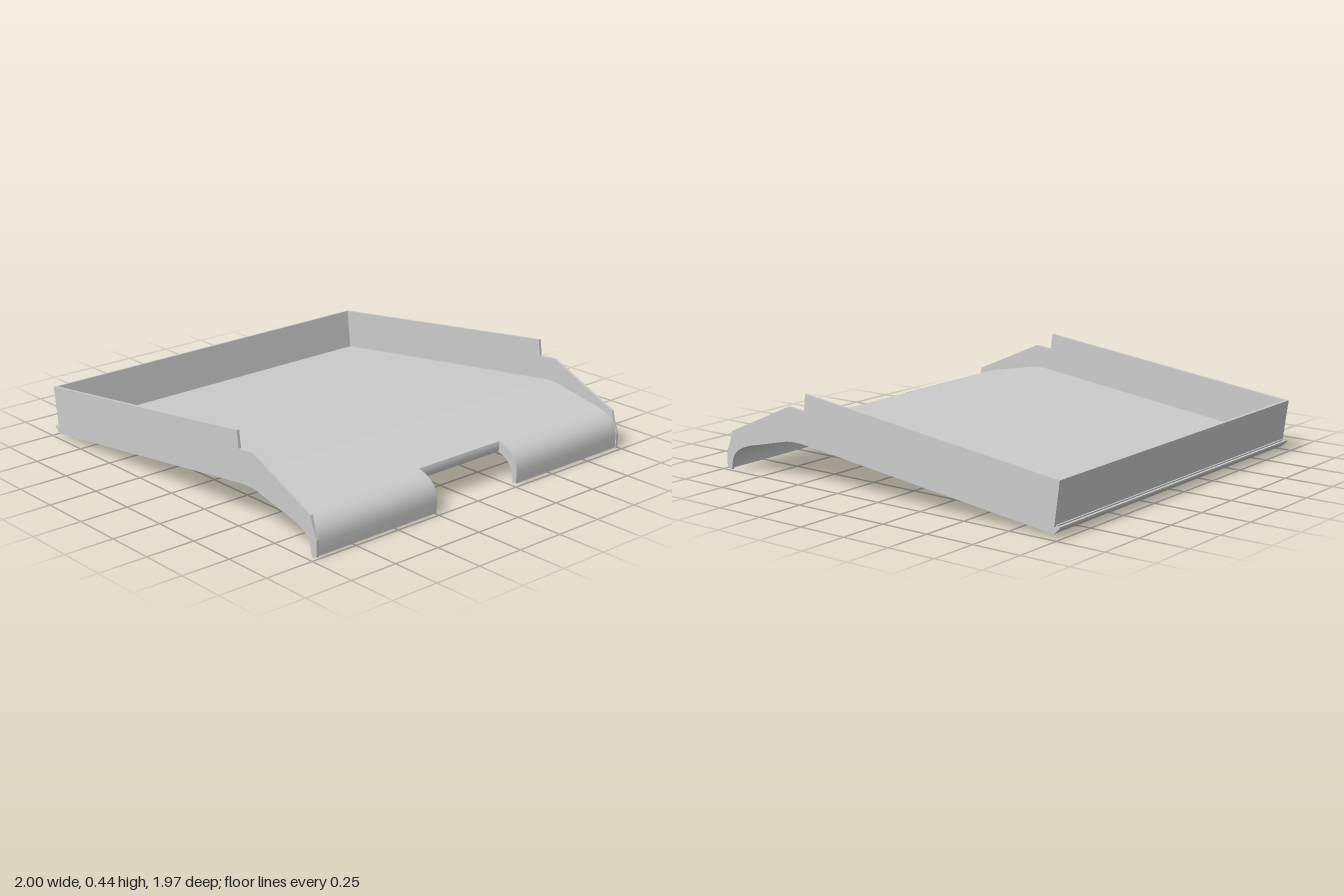
import * as THREE from 'three';
import { toCreasedNormals } from 'three/addons/utils/BufferGeometryUtils.js';

const material = new THREE.MeshStandardMaterial({ color: 0xcccccc });
const HALF = 0.98;    // half depth of the tray
const WALL = 0.014;   // side wall thickness
const NOTCH = 0.26;   // half width of the cut-out in the lip

// Extrudes an x-y outline from z0 to z1, smooth along its curves.
function slab(name, shape, z0, z1) {
  const geometry = new THREE.ExtrudeGeometry(shape, { depth: z1 - z0, bevelEnabled: false, curveSegments: 10 });
  geometry.translate(0, 0, z0);
  const mesh = new THREE.Mesh(toCreasedNormals(geometry, 0.4), material);
  mesh.name = name;
  return mesh;
}

function outline(points) {
  return new THREE.Shape(points.map(([x, y]) => new THREE.Vector2(x, y)));
}

// Floor section that curls down into the lip
function lipShape() {
  const s = new THREE.Shape();
  s.moveTo(-0.968, 0.032);
  s.lineTo(0.49, 0.212);
  s.quadraticCurveTo(0.55, 0.218, 0.6, 0.206);
  s.lineTo(0.865, 0.14);
  s.bezierCurveTo(0.93, 0.12, 0.965, 0.085, 0.962, 0.01);
  s.lineTo(0.986, 0.012);
  s.lineTo(0.988, 0.07);
  s.bezierCurveTo(0.985, 0.14, 0.945, 0.175, 0.865, 0.192);
  s.lineTo(0.6, 0.244);
  s.quadraticCurveTo(0.55, 0.252, 0.49, 0.243);
  s.lineTo(-0.972, 0.06);
  return s;
}

// Floor section that stops at the cut-out
function floorShape() {
  const s = new THREE.Shape();
  s.moveTo(-0.968, 0.032);
  s.lineTo(0.49, 0.212);
  s.quadraticCurveTo(0.55, 0.218, 0.6, 0.206);
  s.lineTo(0.868, 0.139);
  s.quadraticCurveTo(0.876, 0.165, 0.868, 0.19);
  s.lineTo(0.6, 0.244);
  s.quadraticCurveTo(0.55, 0.252, 0.49, 0.243);
  s.lineTo(-0.972, 0.06);
  return s;
}

// Stepped side wall that follows the floor and lip
function sideShape() {
  const s = new THREE.Shape();
  s.moveTo(-0.96, 0.022);
  s.lineTo(0.48, 0.197);
  s.quadraticCurveTo(0.55, 0.203, 0.6, 0.194);
  s.lineTo(0.84, 0.138);
  s.bezierCurveTo(0.92, 0.115, 0.96, 0.08, 0.958, 0.02);
  s.lineTo(0.964, 0.003);
  s.lineTo(0.992, 0.012);
  s.lineTo(0.992, 0.09);
  s.lineTo(0.968, 0.145);
  s.lineTo(0.955, 0.195);
  s.lineTo(0.935, 0.204);
  s.lineTo(0.57, 0.367);
  s.lineTo(0.474, 0.357);
  s.lineTo(0.463, 0.441);
  s.lineTo(-0.992, 0.262);
  return s;
}

export function createModel() {
  const tray = new THREE.Group();
  tray.name = 'tray';

  // Floor and the two halves of the curled lip
  tray.add(slab('floorCentre', floorShape(), -NOTCH, NOTCH));
  tray.add(slab('leftLip', lipShape(), -HALF + WALL, -NOTCH));
  tray.add(slab('rightLip', lipShape(), NOTCH, HALF - WALL));

  // Side walls
  tray.add(slab('backSideWall', sideShape(), -HALF, -HALF + WALL));
  tray.add(slab('frontSideWall', sideShape(), HALF - WALL, HALF));

  // Leaning end wall and the small flange along its foot
  const end = [[-0.96, 0.022], [-0.948, 0.024], [-0.977, 0.264], [-0.992, 0.262]];
  tray.add(slab('endWall', outline(end), -HALF, HALF));
  const flange = [[-0.96, 0.022], [-0.963, 0.052], [-0.993, 0.058], [-0.993, 0.05]];
  tray.add(slab('endFlange', outline(flange), -HALF, HALF));

  // The tray sits very slightly turned
  tray.rotation.y = 0.006;
  const model = new THREE.Group();
  model.name = 'trayModel';
  model.add(tray);
  return model;
}
